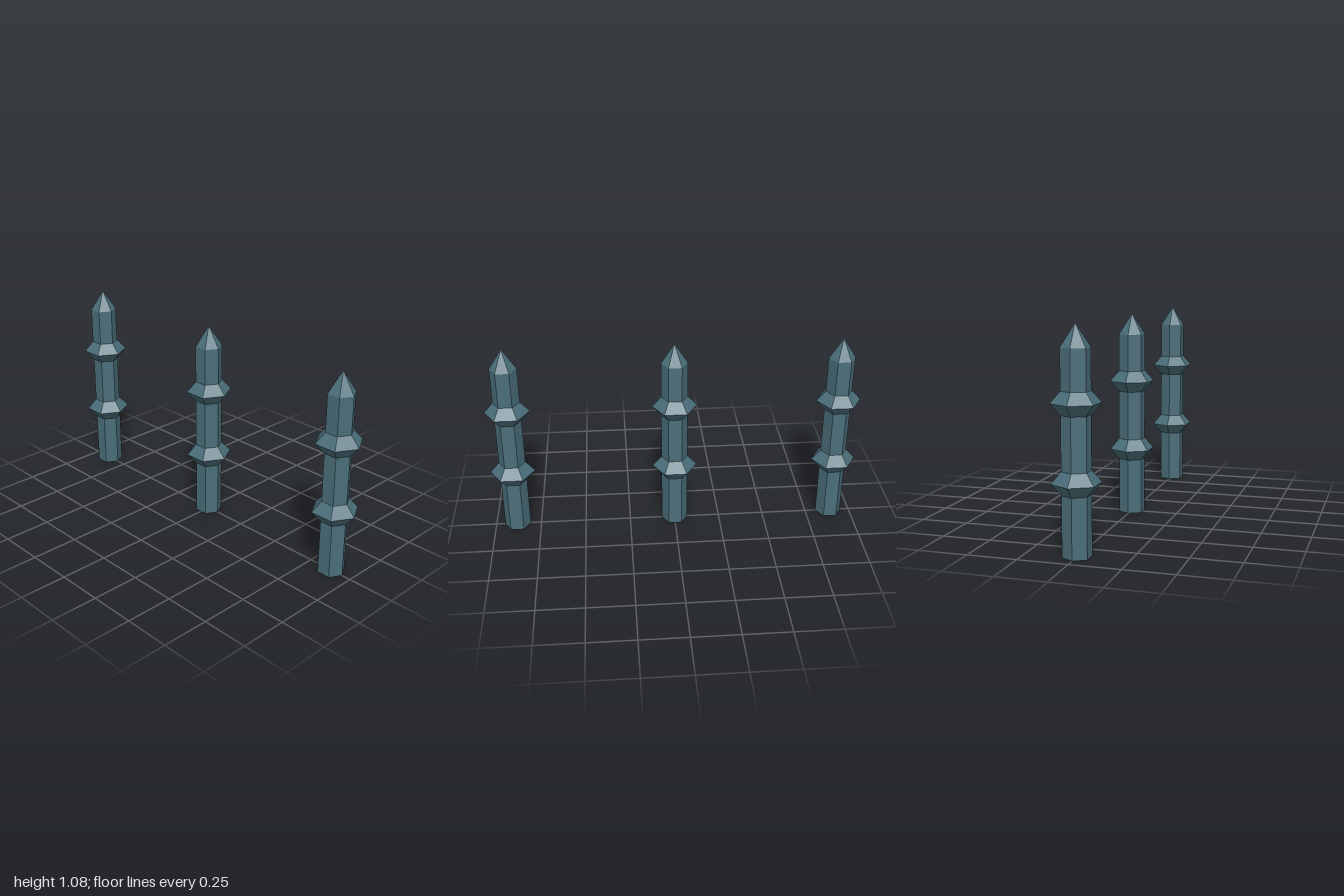
import * as THREE from 'three';

const SIDES = 6;
const SHAFT_R = 0.071;
const COLLAR_R = 0.12;
const TIP_BASE = 0.965;
const TIP_TOP = 1.075;
// bottom, widest and top heights of each collar
const COLLARS = [[0.292, 0.347, 0.403], [0.66, 0.715, 0.77]];

const steel = new THREE.MeshStandardMaterial({ color: 0x4a6e7a });
steel.name = 'blue grey steel';

// hexagonal section between two heights, with faceted normals
function section(name, y0, y1, r0, r1, open = true) {
  const geometry = new THREE.CylinderGeometry(r1, r0, y1 - y0, SIDES, 1, open).toNonIndexed();
  geometry.computeVertexNormals();
  geometry.translate(0, (y0 + y1) / 2, 0);
  const mesh = new THREE.Mesh(geometry, steel);
  mesh.name = name;
  return mesh;
}

function createSpike() {
  const spike = new THREE.Group();
  let y = 0;
  for (const [bottom, middle, top] of COLLARS) {
    // shaft up to the collar, closed at the foot
    spike.add(section('shaft', y, bottom, SHAFT_R, SHAFT_R, y > 0));
    // collar flares out, then back in
    const collar = new THREE.Group();
    collar.name = 'collar';
    collar.add(
      section('collarUnderside', bottom, middle, SHAFT_R, COLLAR_R),
      section('collarTop', middle, top, COLLAR_R, SHAFT_R),
    );
    spike.add(collar);
    y = top;
  }
  spike.add(section('upperShaft', y, TIP_BASE, SHAFT_R, SHAFT_R));
  spike.add(section('tip', TIP_BASE, TIP_TOP, SHAFT_R, 0));
  return spike;
}

export function createModel() {
  const model = new THREE.Group();
  model.name = 'spikeRow';
  // three spikes in a row from front to back
  [['frontSpike', 0.88], ['middleSpike', 0], ['backSpike', -0.88]].forEach(([name, z]) => {
    const spike = createSpike();
    spike.name = name;
    spike.position.z = z;
    model.add(spike);
  });
  return model;
}
